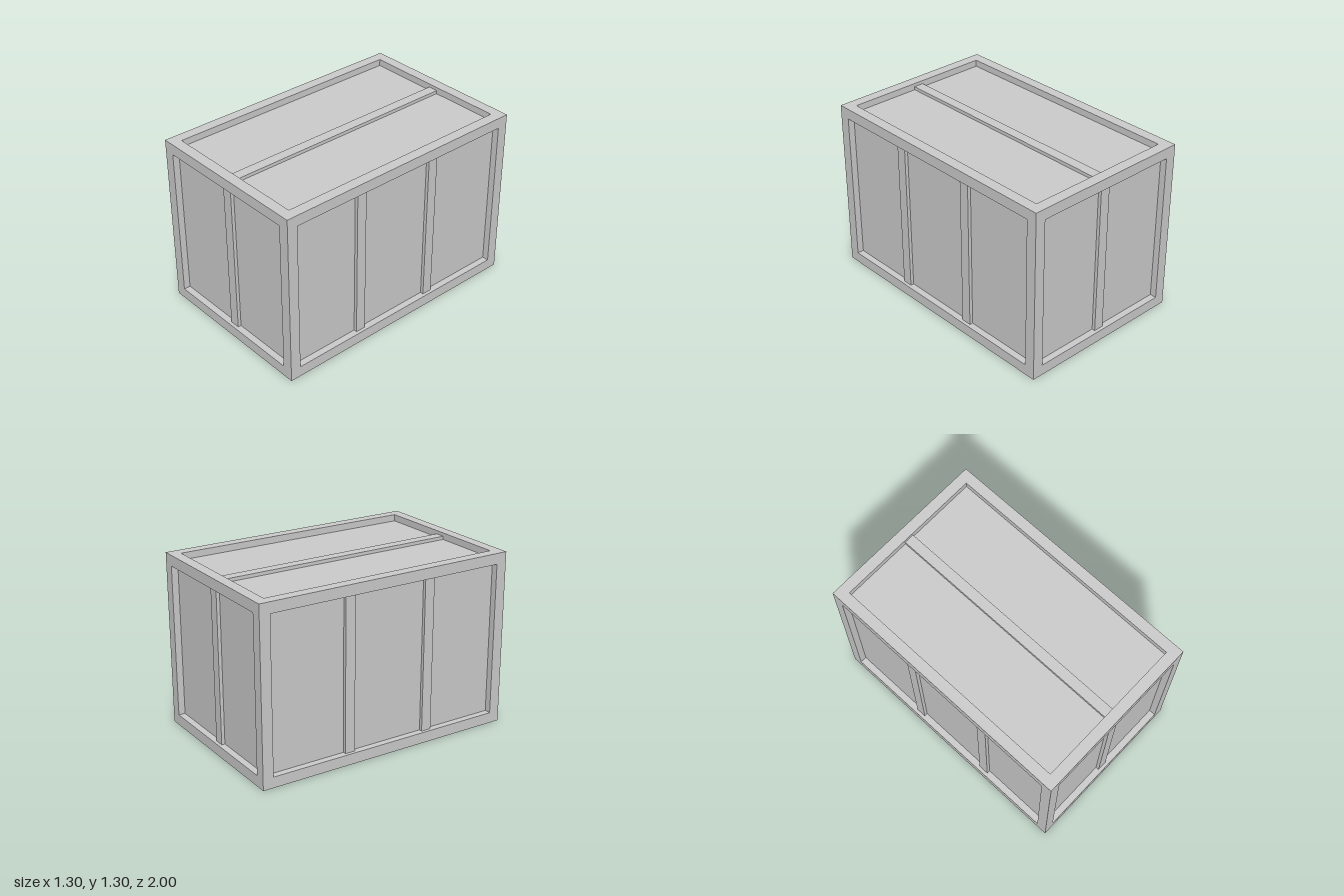
import * as THREE from 'three';

const W = 1.3, H = 1.3, L = 2;   // overall size
const RAIL = 0.08;               // visible width of the frame rails
const RECESS = 0.05;             // depth of the panels behind the frame
const BAR = 0.077, BAR_DEPTH = 0.025;

const material = new THREE.MeshStandardMaterial({ color: 0xcccccc, flatShading: true });

function addMesh(parent, name, geometry, x = 0, y = 0, z = 0) {
  const mesh = new THREE.Mesh(geometry, material);
  mesh.name = name;
  mesh.position.set(x, y, z);
  parent.add(mesh);
  return mesh;
}

// Rectangular rail frame, mitred at 45 degrees so that neighbouring sides meet cleanly
function frameGeometry(w, h, clip) {
  const a = w / 2, b = h / 2, i = a - RAIL, j = b - RAIL;
  const toPoints = list => list.map(([x, y]) => new THREE.Vector2(x, y));
  const shape = new THREE.Shape(toPoints([[-a, -b], [a, -b], [a, b], [-a, b]]));
  const opening = clip
    ? [[-i, -j], [-i, j - clip], [-i + clip, j], [i - clip, j], [i, j - clip], [i, -j]]
    : [[-i, -j], [-i, j], [i, j], [i, -j]];
  shape.holes.push(new THREE.Path(toPoints(opening)));
  const geometry = new THREE.ExtrudeGeometry(shape, { depth: RECESS, bevelEnabled: false });
  geometry.translate(0, 0, -RECESS);
  const p = geometry.attributes.position;
  for (let n = 0; n < p.count; n++) {
    const x = p.getX(n), y = p.getY(n);
    if (p.getZ(n) < -RECESS / 2 && Math.abs(x) > a - 0.001) {
      p.setXY(n, x - Math.sign(x) * RECESS, y - Math.sign(y) * RECESS);
    }
  }
  geometry.computeVertexNormals();
  return geometry;
}

// One side of the crate, built facing +z, with upright bars at the given x positions
function side(name, w, h, bars, clip = 0) {
  const group = new THREE.Group();
  group.name = name;
  addMesh(group, 'railFrame', frameGeometry(w, h, clip));
  for (const x of bars) {
    addMesh(group, 'bar', new THREE.BoxGeometry(BAR, h - 2 * RAIL, BAR_DEPTH),
      x, 0, -RECESS + BAR_DEPTH / 2);
  }
  return group;
}

export function createModel() {
  const model = new THREE.Group();
  model.name = 'crate';
  const q = Math.PI / 2;
  const barZ = [0.3525, -0.2975];

  // Recessed panels form one inner box
  addMesh(model, 'panels',
    new THREE.BoxGeometry(W - 2 * RECESS, H - 2 * RECESS, L - 2 * RECESS), 0, H / 2, 0);

  const place = (group, position, rotX, rotY) => {
    group.position.set(...position);
    group.rotation.set(rotX, rotY, 0);
    model.add(group);
  };

  // Ends
  place(side('frontEnd', W, H, [0], 0.005), [0, H / 2, L / 2], 0, 0);
  place(side('backEnd', W, H, [0], 0.005), [0, H / 2, -L / 2], 0, Math.PI);

  // Long sides
  place(side('leftSide', L, H, barZ.map(z => -z)), [W / 2, H / 2, 0], 0, q);
  place(side('rightSide', L, H, barZ), [-W / 2, H / 2, 0], 0, -q);

  // Lid and base
  place(side('lid', W, L, [0]), [0, H, 0], -q, 0);
  place(side('base', W, L, [0]), [0, 0, 0], q, 0);

  return model;
}
